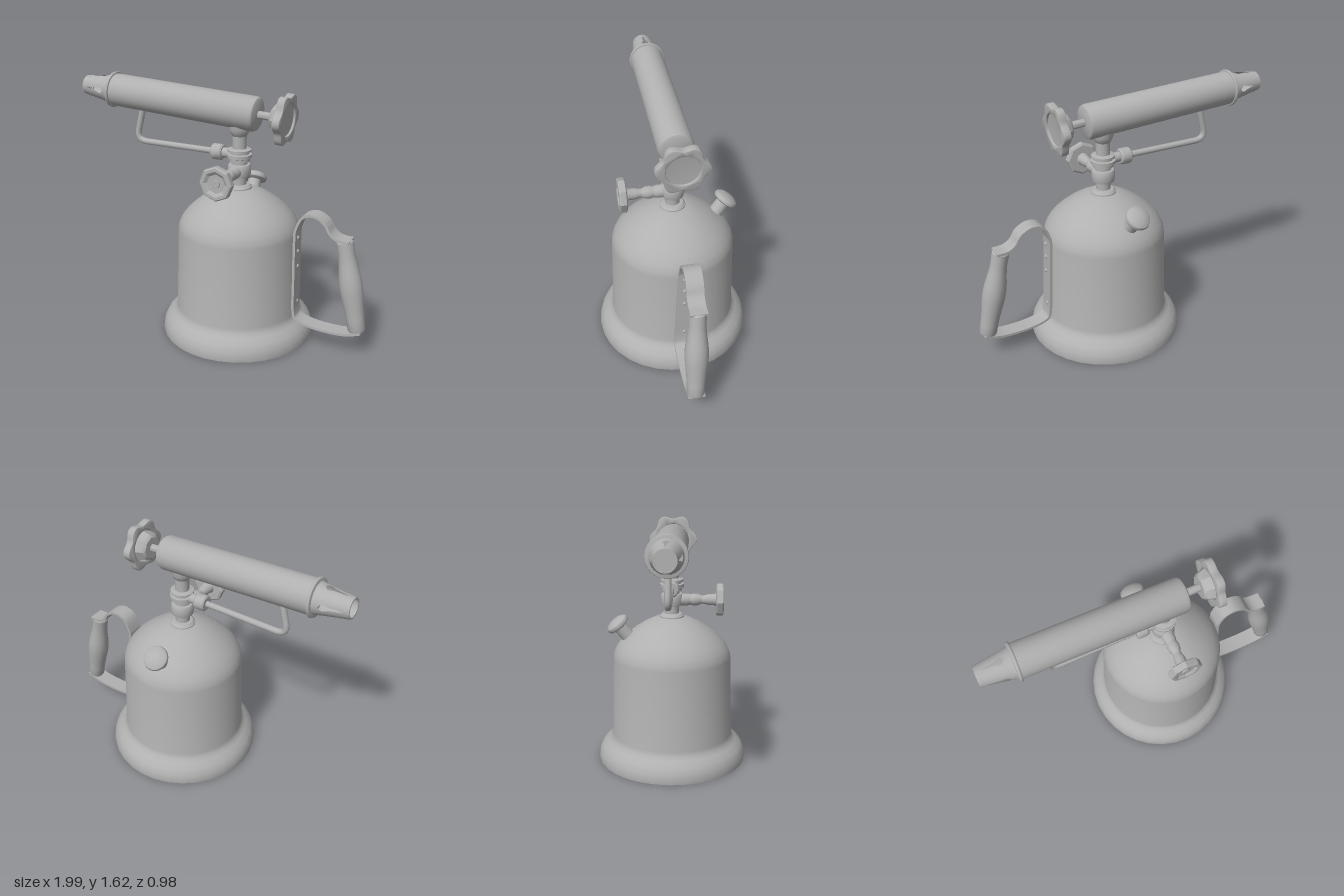
import * as THREE from 'three';
import { toCreasedNormals } from 'three/addons/utils/BufferGeometryUtils.js';
import { ParametricGeometry } from 'three/addons/geometries/ParametricGeometry.js';

const metal = new THREE.MeshStandardMaterial({ color: 0xb0b0b0, side: THREE.DoubleSide });
metal.name = 'grey metal';
const UP = new THREE.Vector3(0, 1, 0);
const AXIS = 0.12; // x of the tank's axis

export function createModel() {
  const root = new THREE.Group();
  root.name = 'blowTorch';

  function add(name, geometry, parent = root) {
    const mesh = new THREE.Mesh(geometry, metal);
    mesh.name = name;
    parent.add(mesh);
    return mesh;
  }
  // Group whose local y runs along dir
  function aimed(name, origin, dir) {
    const g = new THREE.Group();
    g.name = name;
    g.position.set(...origin);
    g.quaternion.setFromUnitVectors(UP, new THREE.Vector3(...dir).normalize());
    root.add(g);
    return g;
  }
  // Turned part from [radius, height] pairs
  function turned(name, profile, parent, sides = 24, crease = 0.6) {
    const geo = new THREE.LatheGeometry(profile.map(p => new THREE.Vector2(...p)), sides);
    return add(name, toCreasedNormals(geo, crease), parent);
  }

  // Tank with flared foot and dome
  const tank = aimed('tank', [AXIS, 0, 0], [0, 1, 0]);
  turned('tankBody', [[0, 0], [0.49, 0], [0.492, 0.02], [0.485, 0.06], [0.465, 0.1], [0.43, 0.13],
    [0.408, 0.15], [0.4, 0.18], [0.385, 0.7], [0.38, 0.73], [0.362, 0.77], [0.33, 0.812], [0.29, 0.85],
    [0.24, 0.89], [0.18, 0.928], [0.11, 0.962], [0.07, 0.97], [0, 0.972]], tank, 32);

  // Valve column between the tank and the barrel
  turned('valveColumn', [[0.08, 0.95], [0.08, 0.975], [0.065, 0.99], [0.045, 0.992], [0.045, 1.04],
    [0.068, 1.045], [0.072, 1.06], [0.072, 1.11], [0.066, 1.12], [0.05, 1.122], [0.05, 1.14],
    [0.065, 1.142], [0.065, 1.16], [0.078, 1.165], [0.078, 1.185], [0.06, 1.188], [0.06, 1.2],
    [0.074, 1.203], [0.074, 1.215], [0.044, 1.222], [0.044, 1.3], [0.055, 1.315], [0.066, 1.34],
    [0.066, 1.4]], tank);

  // Barrel, sloping gently up towards the nozzle
  const barrel = aimed('barrel', [0.245, 1.443, 0], [-1, 0.06, 0]);
  turned('barrelTube', [[0, 0], [0.085, 0], [0.1, 0.008], [0.107, 0.025], [0.105, 1.02], [0, 1.02]], barrel, 32);
  turned('barrelFlange', [[0.1, 1.015], [0.114, 1.018], [0.117, 1.026], [0.114, 1.036], [0.094, 1.04]], barrel, 32);

  // Hollow nozzle made of four panels that leave teardrop slots between them
  const slotHalfWidth = s => {
    const t = (s - 1.075) / 0.135;
    if (t <= 0 || t >= 1) return 0;
    return t < 0.2 ? 0.022 * Math.sin(t / 0.2 * Math.PI / 2)
      : t < 0.45 ? 0.022 - 0.013 * (t - 0.2) / 0.25
        : 0.009 * Math.sqrt((1 - t) / 0.55);
  };
  for (let k = 0; k < 4; k++) {
    add('nozzlePanel', new ParametricGeometry((u, v, out) => {
      const s = 1.035 + 0.21 * v;
      const r = 0.096 - 0.034 * Math.pow(v, 0.85);
      const gap = slotHalfWidth(s) / r;
      const a = k * Math.PI / 2 + gap + u * (Math.PI / 2 - 2 * gap);
      out.set(r * Math.sin(a), s, r * Math.cos(a));
    }, 8, 42), barrel);
  }
  turned('nozzleRim', [[0.052, 1.237], [0.062, 1.237], [0.062, 1.246], [0.052, 1.246], [0.052, 1.237]], barrel);

  // Lobed control wheel behind the barrel
  const control = aimed('controlWheel', [0.24, 1.443, 0], [1, -0.06, 0]);
  turned('controlStem', [[0.024, -0.01], [0.024, 0.12]], control, 16);
  turned('controlHub', [[0, 0.1], [0.07, 0.1], [0.085, 0.115], [0.1, 0.165]], control, 8);
  const lobes = new THREE.Shape(Array.from({ length: 72 }, (_, i) => {
    const a = i / 72 * Math.PI * 2;
    const r = 0.141 - 0.014 * Math.cos(6 * a);
    return new THREE.Vector2(r * Math.cos(a), r * Math.sin(a));
  }));
  lobes.holes.push(new THREE.Path().absarc(0, 0, 0.104, 0, Math.PI * 2, true));
  const rim = new THREE.ExtrudeGeometry(lobes, {
    depth: 0.036, bevelSize: 0.005, bevelThickness: 0.006, bevelSegments: 2, curveSegments: 24
  });
  rim.rotateX(-Math.PI / 2).translate(0, 0.161, 0);
  add('controlRim', toCreasedNormals(rim, 0.6), control);
  turned('controlFace', [[0.106, 0.165], [0.106, 0.19], [0, 0.182]], control);

  // Octagonal valve knob on the front
  const valve = aimed('frontValve', [AXIS, 1.08, 0], [0, 0, 1]);
  turned('valveStem', [[0.04, 0.03], [0.04, 0.1], [0.034, 0.12], [0.04, 0.14], [0.038, 0.165],
    [0.026, 0.195], [0.03, 0.215], [0.036, 0.235], [0.036, 0.27], [0.045, 0.29]], valve, 16);
  turned('valveKnob', [[0, 0.285], [0.095, 0.285], [0.107, 0.292], [0.107, 0.325], [0.1, 0.333],
    [0.08, 0.333], [0.06, 0.32], [0, 0.318]], valve, 8, 0.3);
  turned('valveScrew', [[0.026, 0.315], [0.026, 0.328], [0.012, 0.33], [0, 0.325]], valve, 12);

  // Feed pipe from the barrel to the column, with its nut
  const pipePath = new THREE.CurvePath();
  const p = (x, y) => new THREE.Vector3(x, y, 0);
  pipePath.add(new THREE.LineCurve3(p(-0.565, 1.43), p(-0.608, 1.26)));
  pipePath.add(new THREE.CubicBezierCurve3(p(-0.608, 1.26), p(-0.622, 1.205), p(-0.6, 1.182), p(-0.54, 1.182)));
  pipePath.add(new THREE.LineCurve3(p(-0.54, 1.182), p(-0.04, 1.18)));
  add('feedPipe', new THREE.TubeGeometry(pipePath, 60, 0.02, 12));
  const union = aimed('pipeUnion', [-0.065, 1.18, 0], [1, 0, 0]);
  turned('unionNut', [[0.02, 0], [0.043, 0], [0.051, 0.008], [0.051, 0.065], [0.043, 0.075], [0.03, 0.075]], union, 12);
  turned('unionSleeve', [[0.032, 0.07], [0.032, 0.17]], union, 16);

  // Filler neck and cap on the back of the dome
  const filler = aimed('filler', [0.09, 0.8, -0.25], [-0.12, 0.77, -0.62]);
  turned('fillerNeck', [[0.06, 0], [0.048, 0.05], [0.044, 0.07], [0.044, 0.15]], filler, 16);
  turned('fillerCap', [[0, 0.14], [0.06, 0.14], [0.076, 0.148], [0.08, 0.16], [0.076, 0.175],
    [0.055, 0.19], [0.025, 0.197], [0, 0.198]], filler);

  // Handle strap: a flat band along a curve, leaning slightly sideways
  const band = new THREE.SplineCurve([[0.86, 0.735], [0.79, 0.74], [0.74, 0.77], [0.7, 0.83], [0.63, 0.865],
    [0.56, 0.845], [0.522, 0.77], [0.515, 0.7], [0.523, 0.4], [0.53, 0.22], [0.56, 0.165], [0.68, 0.137],
    [0.85, 0.137], [0.97, 0.168]].map(q => new THREE.Vector2(...q)));
  const outer = [], inner = [];
  for (let i = 0; i <= 90; i++) {
    const c = band.getPoint(i / 90), t = band.getTangent(i / 90);
    outer.push(new THREE.Vector2(c.x - t.y * 0.008, c.y + t.x * 0.008));
    inner.unshift(new THREE.Vector2(c.x + t.y * 0.008, c.y - t.x * 0.008));
  }
  const strap = new THREE.ExtrudeGeometry(new THREE.Shape([...outer, ...inner]), { depth: 0.104, bevelEnabled: false });
  const pos = strap.attributes.position;
  for (let i = 0; i < pos.count; i++) {
    pos.setZ(i, pos.getZ(i) - 0.052 + 0.02 - 0.045 * pos.getY(i));
  }
  add('handleStrap', toCreasedNormals(strap, 0.6));

  // Rivets holding the strap to the tank
  for (const y of [0.7, 0.61, 0.51, 0.27]) {
    const rivet = add('rivet', new THREE.SphereGeometry(0.014, 12, 8));
    rivet.position.set(0.534 - 0.02 * y, y, 0);
  }

  // Turned grip
  const grip = aimed('grip', [0.937, 0.163, 0.013], [-0.118, 0.57, -0.025]);
  turned('gripBody', [[0, 0], [0.05, 0], [0.055, 0.012], [0.056, 0.08], [0.062, 0.16], [0.07, 0.24],
    [0.072, 0.3], [0.067, 0.36], [0.057, 0.43], [0.051, 0.49], [0.053, 0.55], [0.053, 0.572],
    [0.046, 0.582], [0, 0.582]], grip, 20);

  return root;
}
